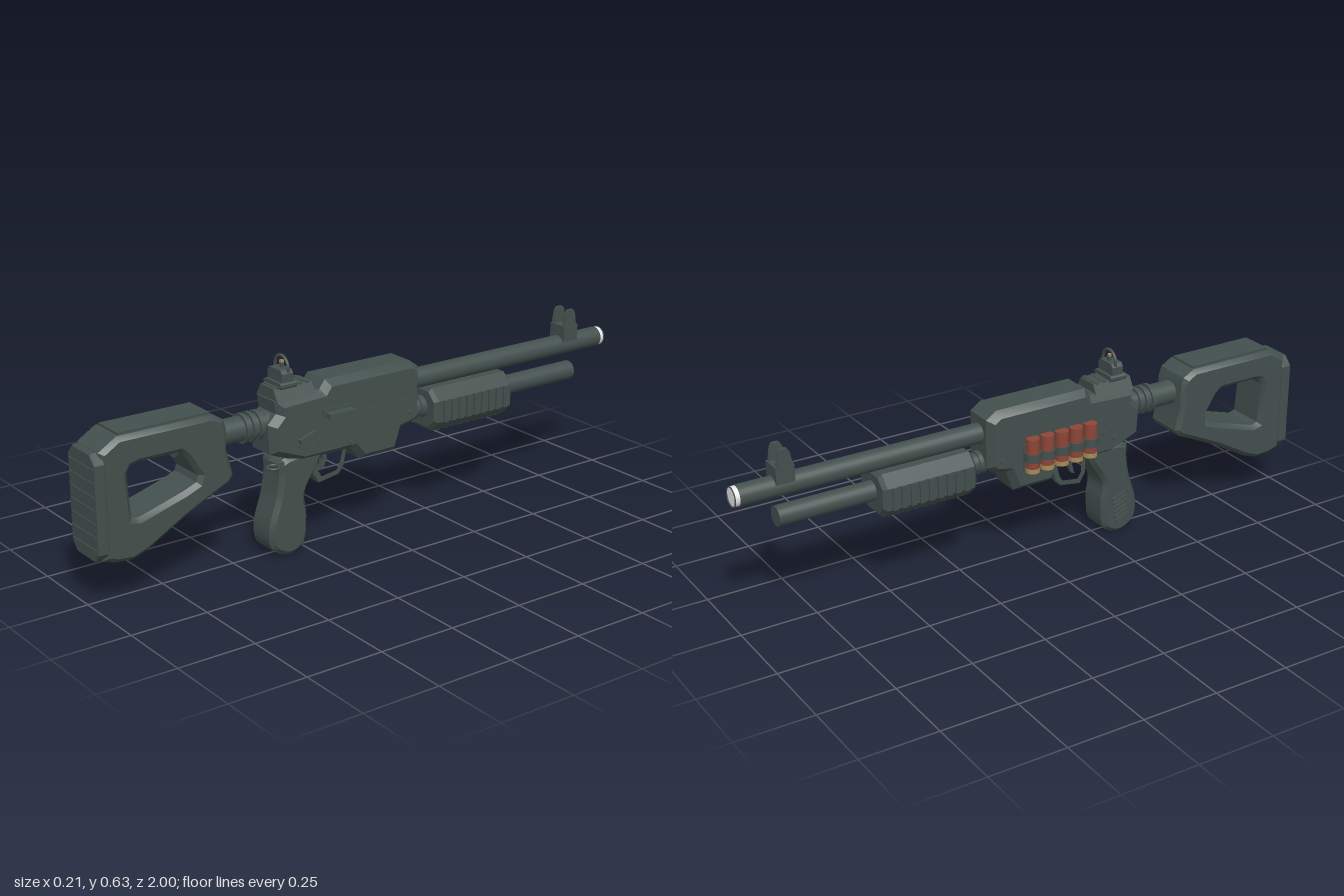
import * as THREE from 'three';
import { toCreasedNormals } from 'three/addons/utils/BufferGeometryUtils.js';

export function createModel() {
  const root = new THREE.Group();
  root.name = 'pumpShotgun';
  const material = (name, color) => Object.assign(new THREE.MeshStandardMaterial({ color }), { name });
  const body = material('gunmetalGreen', 0x43504d);
  const red = material('shellRed', 0x8c4638);
  const brass = material('brass', 0xa88a58);
  const pale = material('muzzlePale', 0xeeecec);

  const add = (name, geo, x = 0, y = 0, z = 0, mat = body) => {
    const m = new THREE.Mesh(geo, mat);
    m.name = name;
    m.position.set(x, y, z);
    root.add(m);
    return m;
  };
  const box = (name, w, h, d, x, y, z, mat) => add(name, new THREE.BoxGeometry(w, h, d), x, y, z, mat);
  // Cylinder lying along z between two depths
  const tube = (name, r, y, z0, z1, mat) =>
    add(name, new THREE.CylinderGeometry(r, r, Math.abs(z1 - z0), 32).rotateX(Math.PI / 2), 0, y, (z0 + z1) / 2, mat);
  // Pin lying along x
  const pin = (name, r, len, x, y, z) =>
    add(name, new THREE.CylinderGeometry(r, r, len, 16).rotateZ(Math.PI / 2), x, y, z);
  const points = (list) => list.map(([a, b]) => new THREE.Vector2(a, b));
  const smoothLoop = (list, n) => {
    const c = new THREE.CatmullRomCurve3(list.map(([a, b]) => new THREE.Vector3(a, b, 0)), true, 'centripetal');
    return c.getPoints(n).slice(0, -1).map((p) => [p.x, p.y]);
  };
  // Side profile given as [z, y], extruded across x with a chamfer
  const profile = (outline, halfWidth, bevel, thick = bevel, hole) => {
    const shape = new THREE.Shape(points(outline));
    if (hole) shape.holes.push(new THREE.Path(points(hole)));
    const depth = 2 * (halfWidth - thick);
    const geo = new THREE.ExtrudeGeometry(shape, {
      depth, bevelEnabled: bevel > 0, bevelSize: bevel, bevelThickness: thick, bevelOffset: -bevel, bevelSegments: 1,
    });
    return toCreasedNormals(geo.translate(0, 0, -depth / 2).rotateY(-Math.PI / 2), 0.5);
  };
  // Front section given as [x, y], extruded along z
  const section = (outline, z0, z1, bevel = 0) => new THREE.ExtrudeGeometry(new THREE.Shape(points(outline)), {
    depth: z1 - z0 - 2 * bevel, bevelEnabled: bevel > 0, bevelSize: bevel, bevelThickness: bevel, bevelOffset: -bevel, bevelSegments: 1,
  }).translate(0, 0, z0 + bevel);
  const chamferRect = (w, y0, y1, cx, cy) => [
    [-w + cx, y0], [w - cx, y0], [w, y0 + cy], [w, y1 - cy], [w - cx, y1], [-w + cx, y1], [-w, y1 - cy], [-w, y0 + cy],
  ];

  // Receiver
  add('receiver', profile([
    [0.37, 0.51], [0.205, 0.518], [0.185, 0.545], [-0.14, 0.545], [-0.175, 0.52], [-0.175, 0.36], [-0.155, 0.34],
    [-0.105, 0.33], [-0.08, 0.26], [0.055, 0.26], [0.09, 0.302], [0.28, 0.302], [0.39, 0.345], [0.395, 0.44], [0.365, 0.47],
  ], 0.07, 0.02, 0.024));
  box('ejectionPort', 0.006, 0.024, 0.1, 0.071, 0.447, 0.16);
  box('ejectionPortLine', 0.004, 0.006, 0.26, 0.071, 0.43, 0.0);
  box('boltHandle', 0.034, 0.015, 0.095, 0.084, 0.441, 0.155);
  for (const [y, z] of [[0.385, 0.25], [0.36, 0.22], [0.36, 0.29], [0.38, -0.13], [0.33, 0.1]])
    for (const s of [-1, 1]) pin('receiverPin', 0.009, 0.008, s * 0.071, y, z);
  const lever = box('safetyLever', 0.012, 0.014, 0.06, 0.076, 0.385, 0.27);
  lever.rotation.x = 0.35;
  const ring = add('slingRing', new THREE.TorusGeometry(0.019, 0.004, 8, 24), 0.081, 0.318, 0.4);
  ring.rotation.x = Math.PI / 2;
  box('slingMount', 0.05, 0.01, 0.03, 0.05, 0.318, 0.37);

  // Shell carrier with five shells on the right side
  box('carrierPlate', 0.01, 0.09, 0.27, -0.07, 0.375, 0.077);
  for (let i = 0; i < 5; i++) {
    const z = -0.03 + i * 0.0535;
    const can = (name, r, y0, y1, mat) =>
      add(name, new THREE.CylinderGeometry(r, r, y1 - y0, 20), -0.083, (y0 + y1) / 2, z, mat);
    can('shellCase', 0.022, 0.342, 0.441, red);
    can('shellBase', 0.023, 0.327, 0.342, brass);
    can('shellLoop', 0.026, 0.364, 0.392, body);
  }

  // Barrel and magazine tube
  tube('barrel', 0.033, 0.462, -0.15, -0.982);
  tube('muzzleFace', 0.031, 0.462, -0.982, -0.996, pale);
  add('muzzleRim', new THREE.TorusGeometry(0.031, 0.002, 8, 32), 0, 0.462, -0.998);
  tube('magazineTube', 0.032, 0.364, -0.15, -0.865);
  tube('magazineCollar', 0.037, 0.364, -0.165, -0.19);
  tube('magazineCollar', 0.037, 0.364, -0.205, -0.23);

  // Pump fore-end with ribs along both sides
  add('foreEnd', section(chamferRect(0.08, 0.288, 0.432, 0.036, 0.036), -0.548, -0.225, 0.012));
  for (let i = 0; i < 9; i++) {
    const z = -0.265 - i * 0.031;
    for (const s of [-1, 1]) box('foreEndRib', 0.012, 0.072, 0.018, s * 0.081, 0.36, z);
    box('foreEndBottomRib', 0.08, 0.006, 0.018, 0, 0.288, z);
  }

  // Front sight
  box('frontSightBase', 0.068, 0.055, 0.06, 0, 0.505, -0.84);
  for (const s of [-1, 1]) {
    const ear = add('frontSightEar', profile([
      [-0.812, 0.52], [-0.822, 0.575], [-0.83, 0.586], [-0.85, 0.586], [-0.858, 0.575], [-0.866, 0.52],
    ], 0.007, 0), s * 0.026);
    ear.rotation.y = 0;
  }
  add('frontSightPost', new THREE.CylinderGeometry(0.004, 0.006, 0.035, 10), 0, 0.545, -0.84);

  // Rear sight: rail, base, block, aperture ring and post
  add('rearRail', section([[-0.058, 0.505], [0.058, 0.505], [0.035, 0.545], [-0.035, 0.545]], 0.225, 0.365));
  for (let i = 0; i < 5; i++) box('railTooth', 0.074, 0.008, 0.013, 0, 0.543, 0.24 + i * 0.027);
  add('rearSightBase', section(chamferRect(0.046, 0.54, 0.559, 0.005, 0.005), 0.285, 0.345));
  add('rearSightBlock', section([[-0.039, 0.555], [0.039, 0.555], [0.039, 0.585], [0.03, 0.596], [-0.03, 0.596], [-0.039, 0.585]], 0.295, 0.335));
  add('rearSightRing', new THREE.TorusGeometry(0.035, 0.005, 10, 32), 0, 0.598, 0.31);
  box('rearSightPost', 0.01, 0.022, 0.01, 0, 0.6, 0.31);
  box('rearSightBead', 0.01, 0.008, 0.01, 0, 0.615, 0.31, brass);

  // Pistol grip
  add('grip', profile(smoothLoop([
    [0.35, 0.315], [0.2, 0.318], [0.212, 0.28], [0.262, 0.195], [0.256, 0.12], [0.265, 0.035], [0.285, 0.015], [0.33, 0.004],
    [0.385, 0.035], [0.394, 0.1], [0.365, 0.2], [0.354, 0.27],
  ], 60), 0.057, 0.014));
  for (let i = 0; i < 6; i++)
    for (const s of [-1, 1]) {
      const bar = box('gripRib', 0.012, 0.007, 0.05, s * 0.057, 0.06 + i * 0.016, 0.33 - i * 0.003);
      bar.rotation.x = -0.4;
    }

  // Trigger and guard
  add('triggerGuard', profile(
    [[0.212, 0.31], [0.212, 0.235], [0.19, 0.2], [0.115, 0.212], [0.095, 0.235], [0.078, 0.31]], 0.02, 0.003, 0.003,
    [[0.196, 0.303], [0.196, 0.24], [0.182, 0.217], [0.122, 0.226], [0.11, 0.242], [0.094, 0.303]]));
  add('trigger', profile([[0.18, 0.31], [0.155, 0.31], [0.152, 0.27], [0.165, 0.24], [0.176, 0.238], [0.166, 0.272]], 0.009, 0));

  // Stock tube with rings
  tube('stockTube', 0.039, 0.433, 0.37, 0.7);
  for (const z of [0.41, 0.435, 0.46]) tube('stockTubeRing', 0.047, 0.433, z - 0.006, z + 0.006);

  // Skeleton stock
  add('stock', profile([
    [0.975, 0.485], [0.915, 0.522], [0.6, 0.522], [0.562, 0.5], [0.552, 0.47], [0.552, 0.4], [0.532, 0.32], [0.545, 0.3],
    [0.615, 0.268], [0.7, 0.228], [0.83, 0.155], [0.88, 0.138], [0.935, 0.142], [0.975, 0.155],
  ], 0.075, 0.014, 0.014, [
    [0.888, 0.405], [0.875, 0.425], [0.85, 0.431], [0.715, 0.431], [0.695, 0.415], [0.652, 0.345], [0.658, 0.325],
    [0.7, 0.308], [0.855, 0.262], [0.878, 0.268],
  ]));
  box('cheekPad', 0.108, 0.012, 0.305, 0, 0.523, 0.755);
  for (const s of [-1, 1]) pin('stockPin', 0.008, 0.006, s * 0.075, 0.375, 0.915);

  // Butt pad with horizontal ridges
  add('buttPad', section(chamferRect(0.08, 0.153, 0.484, 0.028, 0.03), 0.962, 0.997, 0.004));
  for (let i = 0; i < 7; i++) box('buttRidge', 0.14, 0.005, 0.006, 0, 0.44 - i * 0.041, 0.997);

  return root;
}
